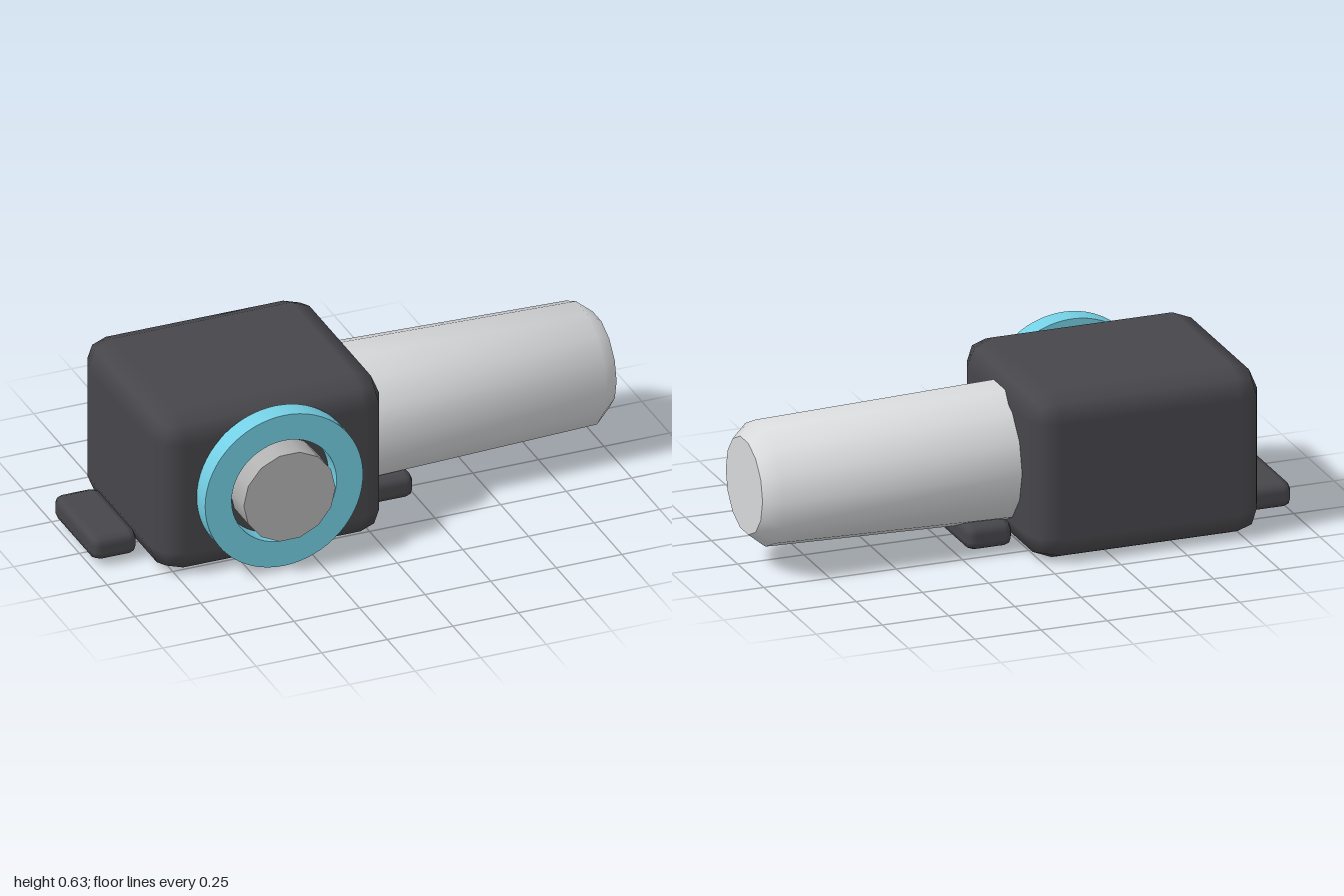
import * as THREE from 'three';
import { toCreasedNormals } from 'three/addons/utils/BufferGeometryUtils.js';
import { RoundedBoxGeometry } from 'three/addons/geometries/RoundedBoxGeometry.js';

const flat = (name, color) => Object.assign(new THREE.MeshStandardMaterial({ color }), { name });

export function createModel() {
  const group = new THREE.Group();
  const darkGrey = flat('darkGrey', 0x47464b);
  const lightGrey = flat('lightGrey', 0xd8d9db);
  const midGrey = flat('midGrey', 0xb3b2b3);
  const teal = flat('teal', 0x74cfe4);

  const add = (name, geometry, material, x, y, z) => {
    const mesh = new THREE.Mesh(geometry, material);
    mesh.name = name;
    mesh.position.set(x, y, z);
    group.add(mesh);
  };

  const midZ = -0.0625, axisY = 0.317;

  // Housing with softly bevelled edges
  add('body', new RoundedBoxGeometry(0.875, 0.63, 0.755, 1, 0.1), darkGrey, -0.3875, 0.315, midZ);

  // Mounting feet on both ends
  for (const [name, x] of [['leftFoot', 0.142], ['rightFoot', -0.9125]]) {
    add(name, new RoundedBoxGeometry(0.175, 0.095, 0.375, 1, 0.034), darkGrey, x, 0.0675, midZ);
  }

  // Tapered barrel with a bevelled tip, turned around the x axis
  const profile = [[0, 0], [0.252, 0], [0.226, 0.94], [0.176, 1], [0, 1]]
    .map(([r, t]) => new THREE.Vector2(r, t));
  const barrel = new THREE.LatheGeometry(profile, 14);
  barrel.rotateZ(-Math.PI / 2);
  add('barrel', toCreasedNormals(barrel, 0.78), lightGrey, 0, axisY, midZ);

  // Flat ring on the front face
  const ringShape = new THREE.Shape().absarc(0, 0, 0.301, 0, Math.PI * 2, false);
  ringShape.holes.push(new THREE.Path().absarc(0, 0, 0.2, 0, Math.PI * 2, true));
  const ring = new THREE.ExtrudeGeometry(ringShape, { depth: 0.077, bevelEnabled: false, curveSegments: 32 });
  add('ring', toCreasedNormals(ring, 0.6), teal, -0.385, axisY, 0.313);

  // Hub in the middle of the ring
  const hub = new THREE.CylinderGeometry(0.175, 0.175, 0.13, 14, 1, false, Math.PI / 2);
  hub.rotateX(Math.PI / 2);
  add('hub', hub, midGrey, -0.385, axisY, 0.375);

  return group;
}
